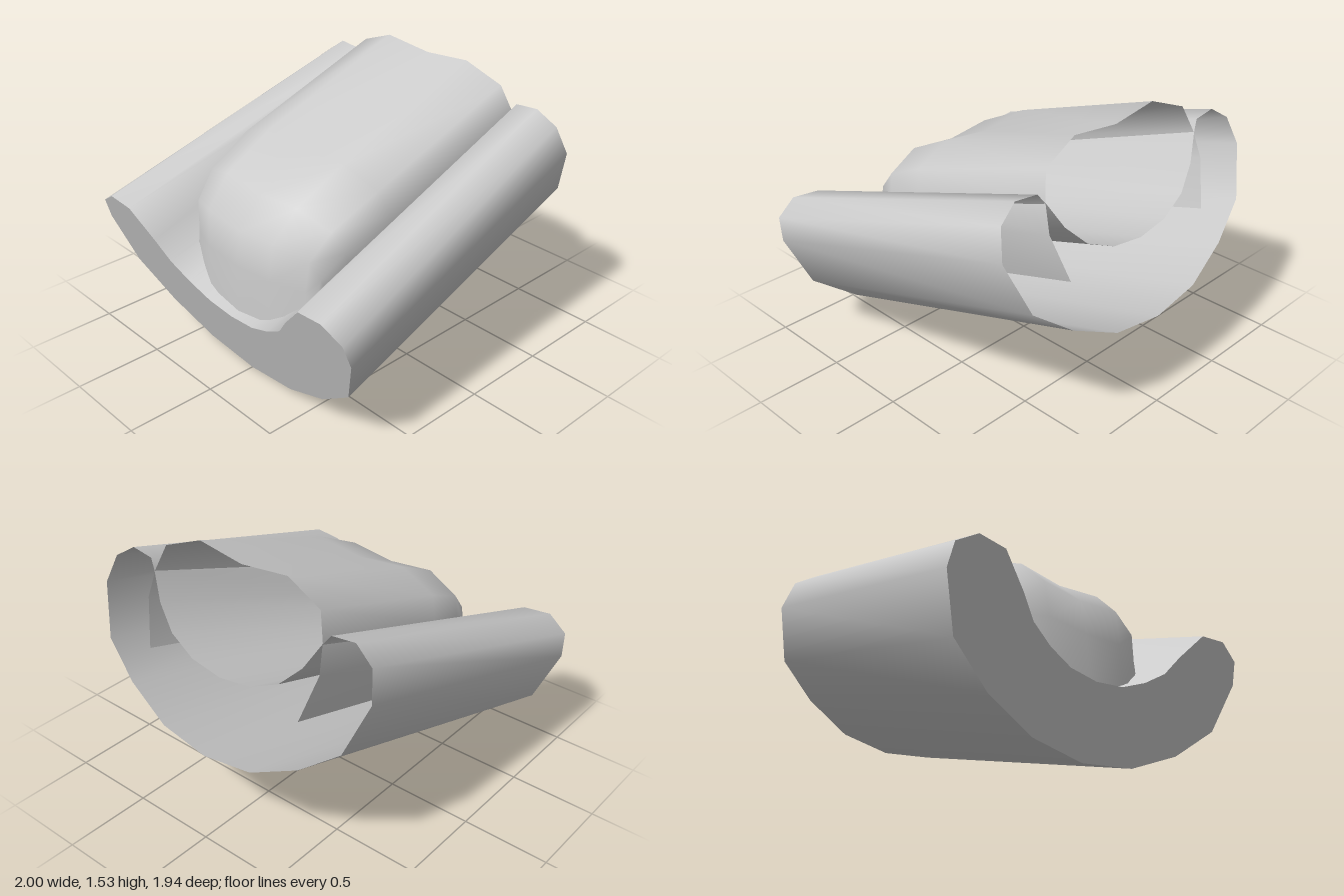
import * as THREE from 'three';

const material = new THREE.MeshStandardMaterial({ color: 0xcccccc, side: THREE.DoubleSide });

// Smooth skin through sections of equal point count, listed front to back
function loft(sections, closed) {
  const n = sections[0].length;
  const positions = sections.flat().flatMap(p => [p.x, p.y, p.z]);
  const index = [];
  for (let j = 0; j < sections.length - 1; j++) {
    for (let i = 0; i < (closed ? n : n - 1); i++) {
      const k = (i + 1) % n;
      const a = j * n + i, b = j * n + k, c = a + n, d = b + n;
      index.push(a, c, b, b, c, d);
    }
  }
  const geometry = new THREE.BufferGeometry();
  geometry.setAttribute('position', new THREE.Float32BufferAttribute(positions, 3));
  geometry.setIndex(index);
  geometry.computeVertexNormals();
  return geometry;
}

function addPart(group, name, geometry) {
  const mesh = new THREE.Mesh(geometry, material);
  mesh.name = name;
  group.add(mesh);
}

// Full ring from a half outline that starts and ends on x = 0
function mirrorRing(half) {
  return [...half, ...half.slice(1, -1).reverse().map(([x, y]) => [-x, y])];
}

const frontZ = y => 0.71 + 0.313 * y;
const backZ = y => -0.97 + 0.345 * (y - 0.53);

// Half outlines [x, y]: underside, rounded rim, then channel
const frontHalf = [
  [0, 0], [0.34, 0.045], [0.64, 0.17], [0.89, 0.355], [1, 0.63], [0.985, 0.755],
  [0.865, 0.83], [0.7, 0.815], [0.55, 0.66], [0.46, 0.55], [0.33, 0.47], [0.18, 0.41], [0, 0.39],
];
const backHalf = [
  [0, 0.53], [0.31, 0.57], [0.59, 0.7], [0.81, 0.865], [0.91, 1.14], [0.865, 1.295],
  [0.75, 1.37], [0.61, 1.355], [0.57, 1.3], [0.49, 1.16], [0.37, 1.04], [0.2, 0.965], [0, 0.94],
];

// Raised pad: half section [x, share of height, corner setback]
const padHalf = [
  [0.53, 0, 0.09], [0.6, 0.4, 0.09], [0.58, 0.64, 0.09], [0.53, 0.86, 0.08], [0.3, 1, 0.01], [0, 0.95, 0],
];
// Stations along the slope: distance, top height, width factor, setback factor
const padStations = [
  [0.05, 0.41, 0.82, 1], [0.14, 0.68, 0.83, 1], [0.225, 0.87, 0.86, 0.8],
  [0.42, 0.978, 0.92, 0.4], [0.755, 1.03, 0.98, 0], [1.735, 1.06, 0.98, 0],
];

function padSection([s, top, width, setback]) {
  const base = 0.4;
  const full = [...padHalf, ...padHalf.slice(0, -1).reverse().map(([x, k, c]) => [-x, k, c])];
  return full.map(([x, k, c]) => {
    const h = base + (top - base) * k;
    const d = s + c * setback;
    // Rotate the slope's own axes into the upright frame
    return new THREE.Vector3(x * width, 0.954 * h + 0.301 * d, 0.71 + 0.301 * h - 0.954 * d);
  });
}

export function createModel() {
  const group = new THREE.Group();
  group.name = 'slopedTroughWithPad';

  // Hollow trough, open at the back
  const front = mirrorRing(frontHalf);
  const back = mirrorRing(backHalf);
  addPart(group, 'troughShell', loft([
    front.map(([x, y]) => new THREE.Vector3(x, y, frontZ(y))),
    back.map(([x, y]) => new THREE.Vector3(x, y, backZ(y))),
  ], true));

  // Flat front end, leaned to match the slope
  const cap = new THREE.ShapeGeometry(new THREE.Shape(front.map(([x, y]) => new THREE.Vector2(x, y))));
  const pos = cap.attributes.position;
  for (let i = 0; i < pos.count; i++) pos.setZ(i, frontZ(pos.getY(i)));
  cap.computeVertexNormals();
  addPart(group, 'troughFront', cap);

  // Pad in the channel, open at the back and below
  addPart(group, 'raisedPad', loft(padStations.map(padSection), false));

  return group;
}
